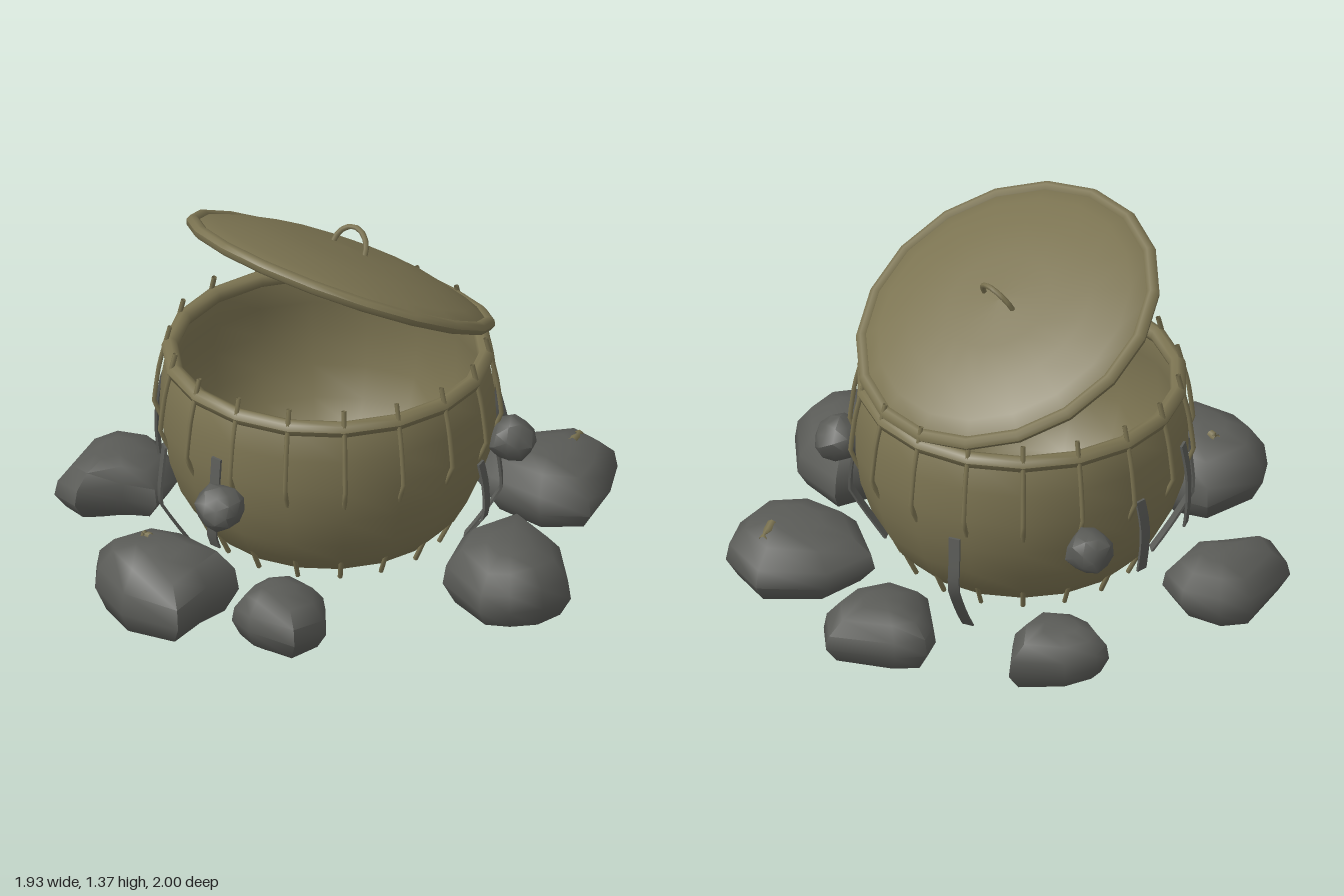
import * as THREE from 'three';
import { toCreasedNormals } from 'three/addons/utils/BufferGeometryUtils.js';

const POT_X = -0.075;
const SIDES = 18;

function material(name, color) {
  const m = new THREE.MeshStandardMaterial({ color, side: THREE.DoubleSide });
  m.name = name;
  return m;
}

// Turned shape whose corners line up with the rods
function lathe(points) {
  return new THREE.LatheGeometry(points.map(([r, y]) => new THREE.Vector2(r, y)), SIDES, Math.PI / SIDES);
}

// Round bead running around the pot or lid edge
function bead(radius, y, thickness) {
  const points = [];
  for (let i = 0; i <= 8; i++) {
    const a = (i / 8) * Math.PI * 2;
    points.push([radius + Math.cos(a) * thickness, y + Math.sin(a) * thickness]);
  }
  return lathe(points);
}

function tube(points, radius, segments = 12) {
  const curve = new THREE.CatmullRomCurve3(points.map(p => new THREE.Vector3(...p)), false, 'catmullrom', 0.15);
  return new THREE.TubeGeometry(curve, segments, radius, 6);
}

// Boulder lofted over a plan outline, given clockwise from above
function boulderGeometry(outline, bottom, top, seed) {
  const n = outline.length;
  const cx = outline.reduce((s, p) => s + p[0], 0) / n;
  const cz = outline.reduce((s, p) => s + p[1], 0) / n;
  const rings = [[0, 0], [0.45, 0.01], [0.82, 0.16], [1, 0.42], [0.95, 0.66], [0.72, 0.88], [0.36, 0.98], [0, 1]];
  const pos = [], index = [];
  rings.forEach(([scale, h], j) => {
    outline.forEach(([x, z], k) => {
      const wobble = 0.06 * scale * Math.sin(seed * 2.3 + k * 1.6 + j * 0.4);
      const y = bottom + (top - bottom) * Math.min(1, Math.max(0, h + wobble));
      pos.push(cx + (x - cx) * scale, y, cz + (z - cz) * scale);
      if (j === rings.length - 1) return;
      const a = j * n + k, b = j * n + (k + 1) % n;
      index.push(a, a + n, b + n, a, b + n, b);
    });
  });
  const g = new THREE.BufferGeometry();
  g.setAttribute('position', new THREE.Float32BufferAttribute(pos, 3));
  g.setIndex(index);
  return toCreasedNormals(g, 1.1);
}

// Small rounded stone with an uneven surface
function pebbleGeometry(radius, seed) {
  const g = new THREE.IcosahedronGeometry(radius, 1);
  const p = g.attributes.position;
  const v = new THREE.Vector3();
  for (let i = 0; i < p.count; i++) {
    v.fromBufferAttribute(p, i);
    v.multiplyScalar(1 + 0.13 * Math.sin(v.x * 40 + seed) * Math.cos(v.y * 35 + v.z * 30));
    p.setXYZ(i, v.x, v.y * 0.95, v.z);
  }
  return toCreasedNormals(g, 0.8);
}

// Flat strap hanging over the pot wall and curling in towards its foot
function strapGeometry(top, bottom) {
  const g = new THREE.BoxGeometry(0.042, top - bottom, 0.009, 1, 8, 1);
  g.translate(0, (top + bottom) / 2, 0);
  const p = g.attributes.position;
  for (let i = 0; i < p.count; i++) {
    const y = p.getY(i);
    const u = (top - y) / (top - bottom);
    const r = 0.597 + 0.022 * Math.sin(u * 2.6) - Math.max(0, 0.28 - y) * 0.6;
    p.setX(i, p.getX(i) + 0.005 * Math.sin(u * 5));
    p.setZ(i, p.getZ(i) + r);
  }
  g.computeVertexNormals();
  return g;
}

export function createModel() {
  const model = new THREE.Group();
  model.name = 'cookingPot';
  const olive = material('oliveMetal', 0x7b7351);
  const grey = material('darkStone', 0x5a5b57);

  const add = (parent, name, geometry, mat) => {
    const mesh = new THREE.Mesh(geometry, mat);
    mesh.name = name;
    parent.add(mesh);
    return mesh;
  };

  // Pot with a hollow inside and a rolled rim
  const pot = new THREE.Group();
  pot.name = 'pot';
  pot.position.x = POT_X;
  model.add(pot);
  add(pot, 'potBody', lathe([
    [0, 0.1], [0.25, 0.103], [0.36, 0.118], [0.43, 0.155], [0.49, 0.22], [0.54, 0.31], [0.58, 0.43],
    [0.598, 0.56], [0.59, 0.68], [0.57, 0.8], [0.54, 0.8], [0.555, 0.68], [0.563, 0.56],
    [0.545, 0.43], [0.505, 0.32], [0.44, 0.22], [0.32, 0.15], [0, 0.13],
  ]), olive);
  add(pot, 'potRim', bead(0.56, 0.8, 0.03), olive);

  // Rods around the wall that dip inside and come out near the base
  for (let i = 0; i < SIDES; i++) {
    const rod = add(pot, 'rod', tube([
      [0, 0.875, 0.56], [0, 0.72, 0.598], [0, 0.57, 0.616], [0, 0.49, 0.58],
      [0, 0.3, 0.51], [0, 0.2, 0.468], [0, 0.125, 0.432],
    ], 0.009, 18), olive);
    rod.rotation.y = ((i + 0.5) / SIDES) * Math.PI * 2;
  }

  // Straps: angle from the front, top, bottom
  [
    [3, 0.62, 0.26], [-31, 0.5, 0.04], [-58, 0.64, 0.31], [-86, 0.56, 0.28],
    [-154, 0.48, 0.04], [109, 0.49, 0.2], [129, 0.47, 0.08],
  ].forEach(([angle, top, bottom]) => {
    add(pot, 'strap', strapGeometry(top, bottom), grey).rotation.y = THREE.MathUtils.degToRad(angle);
  });

  // Domed lid, tipped open with its back edge on the rim
  const lid = new THREE.Group();
  lid.name = 'lid';
  lid.position.set(POT_X, 1.093, -0.065);
  lid.rotation.x = -0.49;
  model.add(lid);
  add(lid, 'lidDome', lathe([
    [0, 0.083], [0.2, 0.077], [0.35, 0.057], [0.47, 0.024], [0.54, -0.01], [0.56, 0.005],
    [0.48, 0.037], [0.35, 0.071], [0.2, 0.09], [0, 0.096],
  ]), olive);
  add(lid, 'lidRim', bead(0.553, 0, 0.025), olive);
  const arc = [];
  for (let i = 0; i <= 8; i++) {
    const a = (i / 8) * Math.PI;
    arc.push([Math.cos(a) * 0.078, 0.085 + Math.sin(a) * 0.085, 0]);
  }
  add(lid, 'lidHandle', tube(arc, 0.01, 16), olive);

  // Boulders around the pot: outline, bottom, top
  [
    [[[-0.35, 0.63], [-0.2, 0.58], [0.08, 0.61], [0.1, 0.78], [0.11, 0.95], [-0.12, 1], [-0.29, 0.96], [-0.38, 0.86]], 0, 0.32],
    [[[0.2, 0.6], [0.27, 0.53], [0.41, 0.51], [0.51, 0.61], [0.5, 0.76], [0.33, 0.82], [0.22, 0.79], [0.18, 0.68]], 0.04, 0.28],
    [[[0.52, -0.36], [0.76, -0.33], [0.95, -0.18], [0.96, -0.03], [0.91, 0.09], [0.8, 0.13], [0.55, 0.06], [0.48, -0.1]], 0.02, 0.31],
    [[[0.1, -0.75], [0.27, -0.94], [0.46, -0.92], [0.56, -0.78], [0.61, -0.63], [0.48, -0.5], [0.27, -0.46], [0.08, -0.55]], 0.04, 0.3],
    [[[-0.45, -0.76], [-0.4, -0.87], [-0.18, -1], [-0.05, -0.9], [-0.04, -0.78], [-0.09, -0.62], [-0.22, -0.55], [-0.38, -0.66]], 0.03, 0.27],
    [[[-0.91, -0.36], [-0.86, -0.47], [-0.73, -0.62], [-0.61, -0.5], [-0.56, -0.35], [-0.65, -0.25], [-0.78, -0.25], [-0.89, -0.29]], 0.04, 0.26],
    [[[-0.97, 0.31], [-0.92, 0.2], [-0.79, 0.13], [-0.63, 0.18], [-0.57, 0.36], [-0.66, 0.44], [-0.74, 0.6], [-0.87, 0.57]], 0.03, 0.27],
  ].forEach(([outline, bottom, top], i) => {
    add(model, 'boulder', boulderGeometry(outline, bottom, top, i + 1), grey);
  });

  // Small stones against the wall
  [[0.045, 0.485, 0.67], [-0.705, 0.475, -0.22], [0.43, 0.475, -0.415]].forEach((p, i) => {
    add(model, 'smallStone', pebbleGeometry(0.088, i * 2), grey).position.set(...p);
  });

  // Olive flecks lying on two boulders
  add(model, 'fleck', tube([[0.338, 0.272, -0.85], [0.382, 0.29, -0.77]], 0.018, 2), olive);
  add(model, 'fleck', tube([[-0.235, 0.305, 0.77], [-0.2, 0.307, 0.77]], 0.016, 2), olive);

  return model;
}
